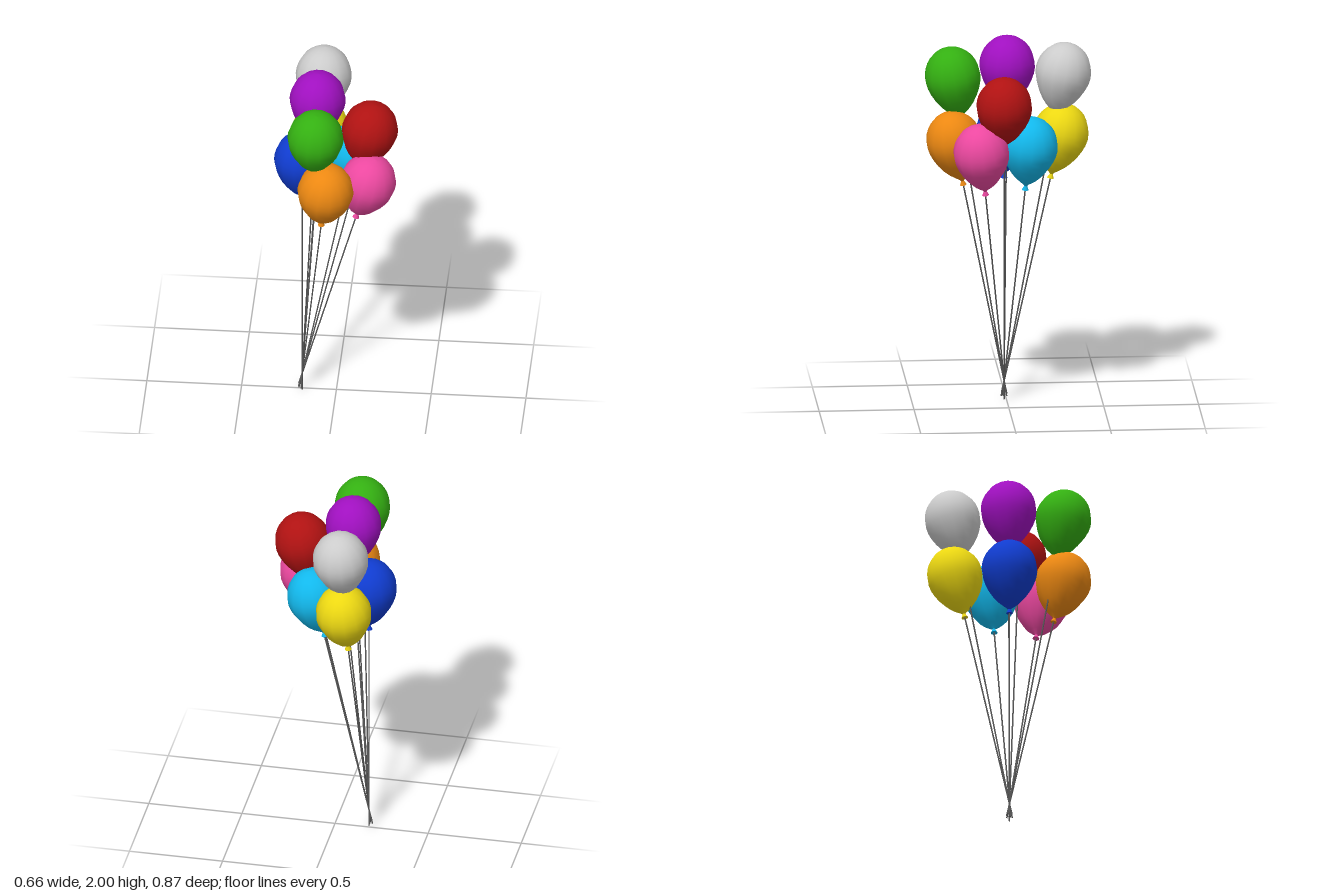
import * as THREE from 'three';

const PIVOT = new THREE.Vector3(-0.18, 0.1, 0.012); // where the strings cross
const UP = new THREE.Vector3(0, 1, 0);

// colour, centre of the widest section
const BALLOONS = [
  ['purple', 0xa010c0, [-0.099, 1.835, 0.002]],
  ['green', 0x34b012, [-0.087, 1.781, 0.289]],
  ['grey', 0xcccccc, [-0.091, 1.793, -0.293]],
  ['red', 0xb01212, [0.179, 1.681, 0.037]],
  ['blue', 0x103cd0, [-0.18, 1.455, 0.012]],
  ['orange', 0xec8812, [-0.035, 1.446, 0.285]],
  ['pink', 0xec48a0, [0.178, 1.431, 0.157]],
  ['cyan', 0x12b8ec, [0.085, 1.44, -0.105]],
  ['yellow', 0xecd812, [-0.105, 1.46, -0.28]],
];

// Teardrop: tapering lower part, then a quarter ellipse to the crown
function skinGeometry() {
  const pts = [
    [0.007, -0.228], [0.018, -0.215], [0.035, -0.202], [0.06, -0.18], [0.086, -0.15],
    [0.112, -0.11], [0.131, -0.07], [0.143, -0.034],
  ].map(([r, y]) => new THREE.Vector2(r, y));
  for (let i = 0; i <= 8; i++) {
    const a = (i / 8) * Math.PI / 2;
    pts.push(new THREE.Vector2(i === 8 ? 0 : 0.148 * Math.cos(a), 0.165 * Math.sin(a)));
  }
  return new THREE.LatheGeometry(pts, 14, Math.PI / 2);
}

export function createModel() {
  const model = new THREE.Group();
  model.name = 'balloonBunch';

  const skinGeo = skinGeometry();
  const knotGeo = new THREE.CylinderGeometry(0.007, 0.018, 0.024, 10);
  const stringMat = new THREE.MeshStandardMaterial({ color: 0x5a5a5a });

  for (const [name, color, position] of BALLOONS) {
    const balloon = new THREE.Group();
    balloon.name = name + 'Balloon';
    const mat = new THREE.MeshStandardMaterial({ color });

    const skin = new THREE.Mesh(skinGeo, mat);
    skin.name = 'skin';

    const knot = new THREE.Mesh(knotGeo, mat);
    knot.name = 'knot';
    knot.position.y = -0.238;

    // String runs from the knot through the crossing point to a loose end
    const centre = new THREE.Vector3(...position);
    const reach = centre.distanceTo(PIVOT);
    const end = reach < 1.45 ? 1.455 : reach + 0.085;
    const length = end - 0.23;
    const string = new THREE.Mesh(new THREE.CylinderGeometry(0.004, 0.004, length, 6), stringMat);
    string.name = 'string';
    string.position.y = -0.23 - length / 2;

    // Each balloon leans along its own string
    balloon.add(skin, knot, string);
    balloon.position.copy(centre);
    balloon.quaternion.setFromUnitVectors(UP, centre.clone().sub(PIVOT).normalize());
    model.add(balloon);
  }
  return model;
}
